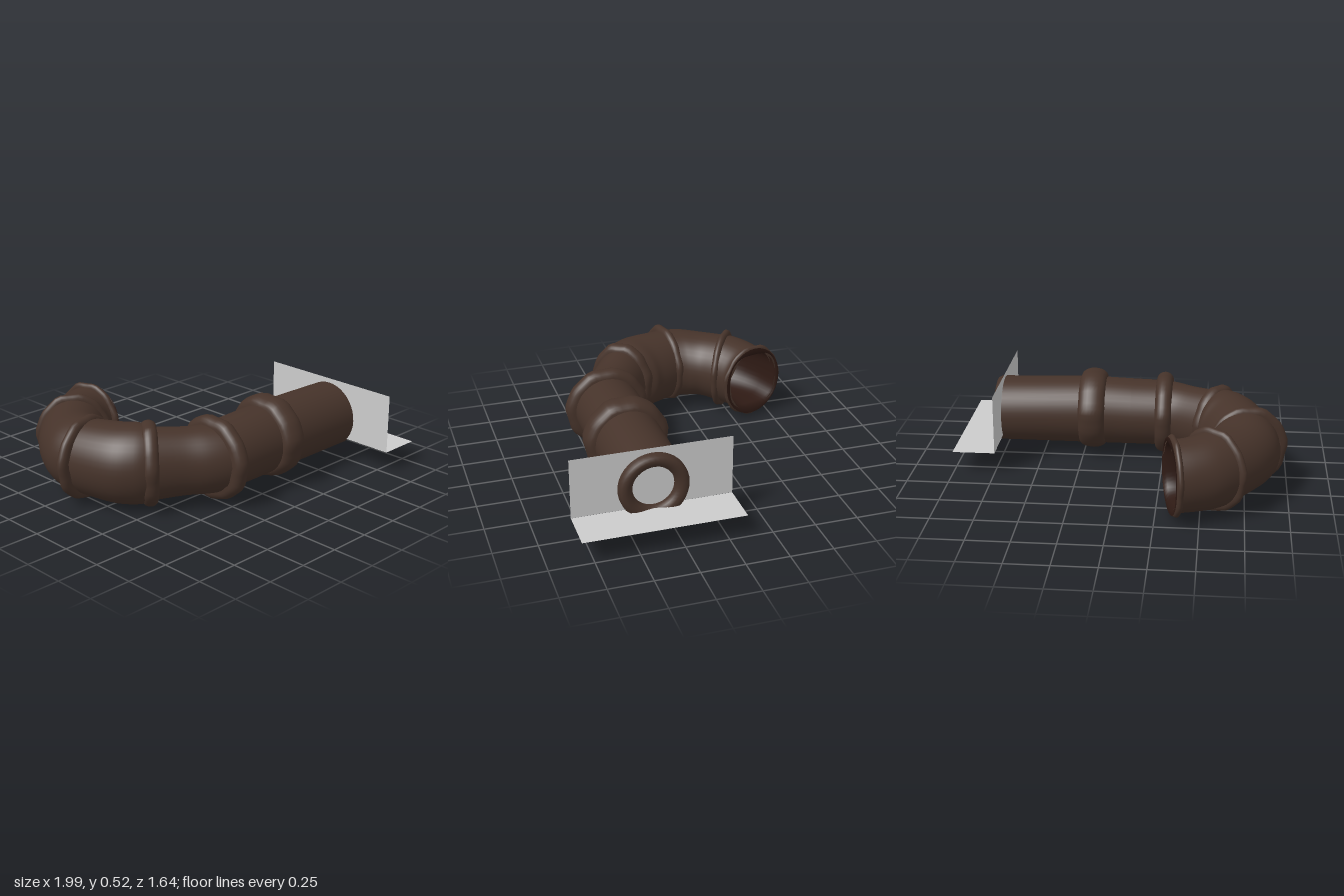
import * as THREE from 'three';

const brown = new THREE.MeshStandardMaterial({ color: 0x46332a, side: THREE.DoubleSide });
const dark = new THREE.MeshStandardMaterial({ color: 0x2e1a14, side: THREE.DoubleSide });
const grey = new THREE.MeshStandardMaterial({ color: 0xcccccc, side: THREE.DoubleSide });
const SIDES = 40;

// A section is [x, y, z, turn in degrees, sideways radius, upright radius, squareness].
// Turn 0 heads to -x, 90 to -z, 180 back to +x.
function loft(name, sections, material, wobble = 0) {
  const pos = [], index = [];
  for (const [x, y, z, turn, rs, ru, square = 1] of sections) {
    const a = THREE.MathUtils.degToRad(turn);
    for (let j = 0; j < SIDES; j++) {
      const t = (j / SIDES) * Math.PI * 2;
      const bump = wobble * (Math.sin(7 * t) + Math.sin(11 * t + 1));
      const c = Math.sign(Math.cos(t)) * Math.abs(Math.cos(t)) ** square * (rs + bump);
      const s = Math.sign(Math.sin(t)) * Math.abs(Math.sin(t)) ** square * (ru + bump);
      pos.push(x - Math.sin(a) * c, y + s, z + Math.cos(a) * c);
    }
  }
  for (let i = 0; i < sections.length - 1; i++) {
    for (let j = 0; j < SIDES; j++) {
      const k = (j + 1) % SIDES;
      const p = i * SIDES + j, q = i * SIDES + k;
      index.push(p, q, p + SIDES, q, q + SIDES, p + SIDES);
    }
  }
  const geo = new THREE.BufferGeometry();
  geo.setAttribute('position', new THREE.Float32BufferAttribute(pos, 3));
  geo.setIndex(index);
  geo.computeVertexNormals();
  const mesh = new THREE.Mesh(geo, material);
  mesh.name = name;
  return mesh;
}

// Adds in-between sections along a smooth curve through the given ones
function refine(keys, steps = 6) {
  const out = [];
  for (let i = 0; i < keys.length - 1; i++) {
    const k = [keys[Math.max(i - 1, 0)], keys[i], keys[i + 1], keys[Math.min(i + 2, keys.length - 1)]];
    for (let n = 0; n < steps; n++) {
      const t = n / steps;
      out.push(k[1].map((b, m) => {
        const a = k[0][m], c = k[2][m], d = k[3][m];
        return b + 0.5 * t * (c - a + t * (2 * a - 5 * b + 4 * c - d + t * (3 * (b - c) + d - a)));
      }));
    }
  }
  out.push(keys[keys.length - 1]);
  return out;
}

// Rounded collar around the pipe
function collar(name, [x, y, z, turn, rs, ru], halfWidth, height) {
  const a = THREE.MathUtils.degToRad(turn), sections = [];
  for (let i = 0; i <= 12; i++) {
    const f = (i / 12) * Math.PI;
    const t = -halfWidth * Math.cos(f);
    const drop = height * (1 - Math.sin(f) ** 0.8);
    sections.push([x - Math.cos(a) * t, y, z - Math.sin(a) * t, turn, rs - drop, ru - drop]);
  }
  return loft(name, sections, brown, 0.003);
}

export function createModel() {
  const group = new THREE.Group();

  // Straight pipe with a thick rolled mouth and a closed bore
  const mouth = [[0.45, 0.001], [0.45, 0.12], [0.76, 0.12], [0.78, 0.13], [0.793, 0.15],
    [0.796, 0.17], [0.79, 0.19], [0.77, 0.2], [0.74, 0.2]];
  group.add(loft('straightPipe', [
    ...mouth.map(([x, r]) => [x, 0.262, 0.355, 0, r, r]),
    [0.19, 0.268, 0.355, 0, 0.2, 0.208],
    [-0.05, 0.263, 0.355, 0, 0.2, 0.203],
    [-0.27, 0.26, 0.355, 0, 0.2, 0.2],
  ], brown));

  // Curved pipe, sweeping round from the straight run
  group.add(loft('angledPipe', refine([
    [-0.25, 0.26, 0.36, 8, 0.195, 0.2],
    [-0.32, 0.26, 0.325, 28, 0.18, 0.2],
    [-0.42, 0.26, 0.265, 36, 0.165, 0.2],
    [-0.575, 0.26, 0.165, 38, 0.17, 0.215],
  ]), brown));
  group.add(loft('lowerBend', refine([
    [-0.575, 0.26, 0.165, 38, 0.18, 0.225],
    [-0.62, 0.26, 0.11, 47, 0.21, 0.235],
    [-0.68, 0.258, 0.02, 60, 0.215, 0.232],
    [-0.74, 0.258, -0.165, 79, 0.2, 0.22],
  ]), brown));
  group.add(loft('upperBend', refine([
    [-0.74, 0.258, -0.165, 79, 0.205, 0.22],
    [-0.73, 0.258, -0.27, 93, 0.215, 0.215],
    [-0.67, 0.258, -0.39, 110, 0.205, 0.205],
    [-0.57, 0.255, -0.505, 125, 0.2, 0.215],
  ]), brown));
  group.add(loft('endPipe', refine([
    [-0.57, 0.255, -0.505, 125, 0.2, 0.22],
    [-0.5, 0.253, -0.56, 141, 0.195, 0.215],
    [-0.42, 0.252, -0.6, 155, 0.185, 0.21],
    [-0.345, 0.252, -0.62, 165, 0.185, 0.21],
  ]), brown));

  // Collars at the joints
  group.add(collar('straightCollar', [0.19, 0.275, 0.355, 0, 0.25, 0.247], 0.082, 0.06));
  group.add(collar('elbowCollar', [-0.25, 0.26, 0.355, 0, 0.25, 0.248], 0.052, 0.06));
  group.add(collar('lowerCollar', [-0.575, 0.26, 0.165, 38, 0.2, 0.25], 0.045, 0.045));
  group.add(collar('middleCollar', [-0.757, 0.258, -0.165, 79, 0.238, 0.246], 0.032, 0.05));
  group.add(collar('upperCollar', [-0.57, 0.253, -0.505, 125, 0.222, 0.248], 0.026, 0.045));

  // Flared rim and the squarish hollow inside the open end
  group.add(collar('endRim', [-0.352, 0.252, -0.62, 165, 0.208, 0.234], 0.02, 0.035));
  group.add(loft('endHollow', [
    [-0.33, 0.252, -0.624, 165, 0.2, 0.222, 1],
    [-0.328, 0.255, -0.624, 165, 0.178, 0.185, 0.75],
    [-0.35, 0.258, -0.62, 165, 0.168, 0.165, 0.65],
    [-0.42, 0.258, -0.6, 155, 0.16, 0.165, 0.7],
    [-0.5, 0.255, -0.56, 141, 0.16, 0.165, 0.8],
    [-0.57, 0.255, -0.505, 125, 0.165, 0.165, 0.9],
    [-0.67, 0.258, -0.39, 110, 0.165, 0.165, 1],
    [-0.73, 0.258, -0.27, 93, 0.165, 0.165, 1],
    [-0.73, 0.258, -0.27, 93, 0.001, 0.001, 1],
  ], dark));

  // Thin wall sheet and floor sheet by the mouth
  const wall = new THREE.Mesh(new THREE.PlaneGeometry(0.917, 0.355), grey);
  wall.name = 'wallSheet';
  wall.rotation.y = Math.PI / 2;
  wall.position.set(0.745, 0.312, 0.357);
  const floor = new THREE.Mesh(new THREE.PlaneGeometry(0.255, 0.917), grey);
  floor.name = 'floorSheet';
  floor.rotation.x = -Math.PI / 2;
  floor.position.set(0.8725, 0.134, 0.357);
  group.add(wall, floor);

  return group;
}
